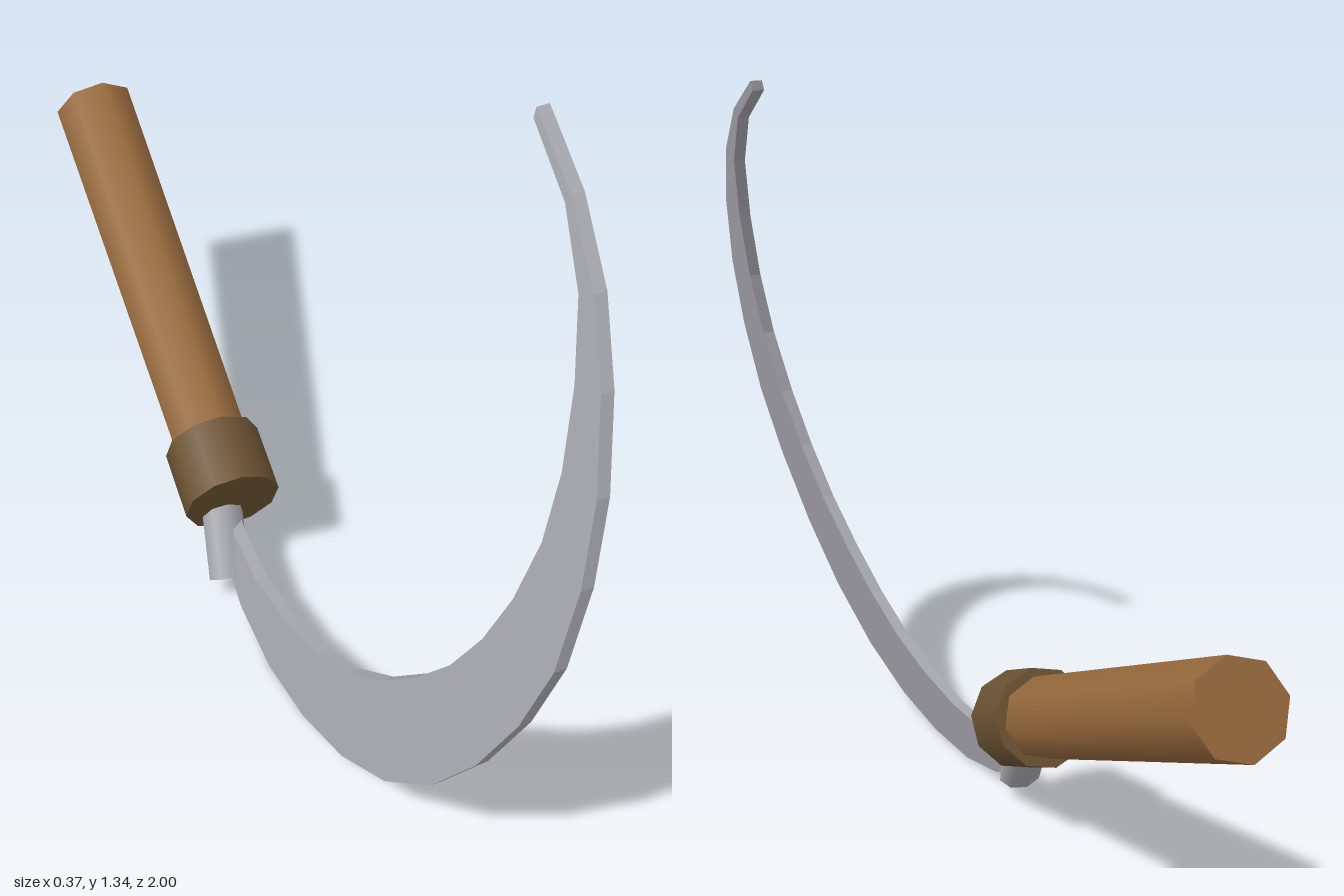
import * as THREE from 'three';

const steel = new THREE.MeshStandardMaterial({ color: 0xa6a6ae });
steel.name = 'steel';
const wood = new THREE.MeshStandardMaterial({ color: 0x96693c });
wood.name = 'wood';
const darkWood = new THREE.MeshStandardMaterial({ color: 0x6b5232 });
darkWood.name = 'dark wood';

// Cylinder running from point a to point b
function rod(name, a, b, rA, rB, sides, material, flatten = 1) {
  const dir = b.clone().sub(a);
  const geometry = new THREE.CylinderGeometry(rB, rA, dir.length(), sides);
  geometry.scale(1, 1, flatten);
  const mesh = new THREE.Mesh(geometry, material);
  mesh.name = name;
  mesh.position.copy(a).add(b).multiplyScalar(0.5);
  mesh.quaternion.setFromUnitVectors(new THREE.Vector3(0, 1, 0), dir.normalize());
  return mesh;
}

// Crescent outline as [z, y] pairs, cut from a thin, leaning sheet
function blade() {
  const outer = [
    [-0.03, 0.10], [0.01, 0.06], [0.08, 0.03], [0.227, 0.003], [0.377, 0.008],
    [0.527, 0.04], [0.67, 0.105], [0.795, 0.205], [0.89, 0.33], [0.96, 0.47],
    [1, 0.61], [1, 0.765], [0.97, 0.91], [0.905, 1.055], [0.82, 1.175],
    [0.70, 1.275], [0.555, 1.347],
  ];
  const inner = [
    [0.555, 1.328], [0.69, 1.257], [0.785, 1.155], [0.84, 1.03], [0.873, 0.895],
    [0.878, 0.767], [0.853, 0.64], [0.81, 0.527], [0.75, 0.425], [0.67, 0.334],
    [0.58, 0.254], [0.478, 0.19], [0.366, 0.147], [0.238, 0.12], [0.104, 0.115],
    [0, 0.135], [-0.04, 0.15],
  ];
  const shape = new THREE.Shape([...outer, ...inner].map(([z, y]) => new THREE.Vector2(-z, y)));
  const thickness = 0.024;
  const geometry = new THREE.ExtrudeGeometry(shape, { depth: thickness, bevelEnabled: false });
  geometry.translate(0, 0, -thickness / 2);
  // Stand the sheet along z and lean it sideways
  geometry.applyMatrix4(new THREE.Matrix4().set(
    0.034, 0.234, 1, -0.125,
    0, 1, 0, 0,
    -1, 0, 0, 0,
    0, 0, 0, 1,
  ));
  const mesh = new THREE.Mesh(geometry, steel);
  mesh.name = 'blade';
  return mesh;
}

export function createModel() {
  const group = new THREE.Group();
  group.name = 'sickle';

  // Shared axis of collar and handle
  const front = new THREE.Vector3(-0.091, 0.19, -0.043);
  const end = new THREE.Vector3(0.025, 0.56, -0.966);
  const along = (t) => front.clone().lerp(end, t);

  group.add(
    blade(),
    rod('tang', new THREE.Vector3(-0.125, 0.05, 0.012), new THREE.Vector3(-0.092, 0.21, -0.105),
      0.043, 0.043, 8, steel, 0.75),
    rod('collar', along(0), along(0.14), 0.095, 0.095, 10, darkWood),
    rod('handle', along(0.1), end, 0.078, 0.086, 8, wood),
  );
  return group;
}
